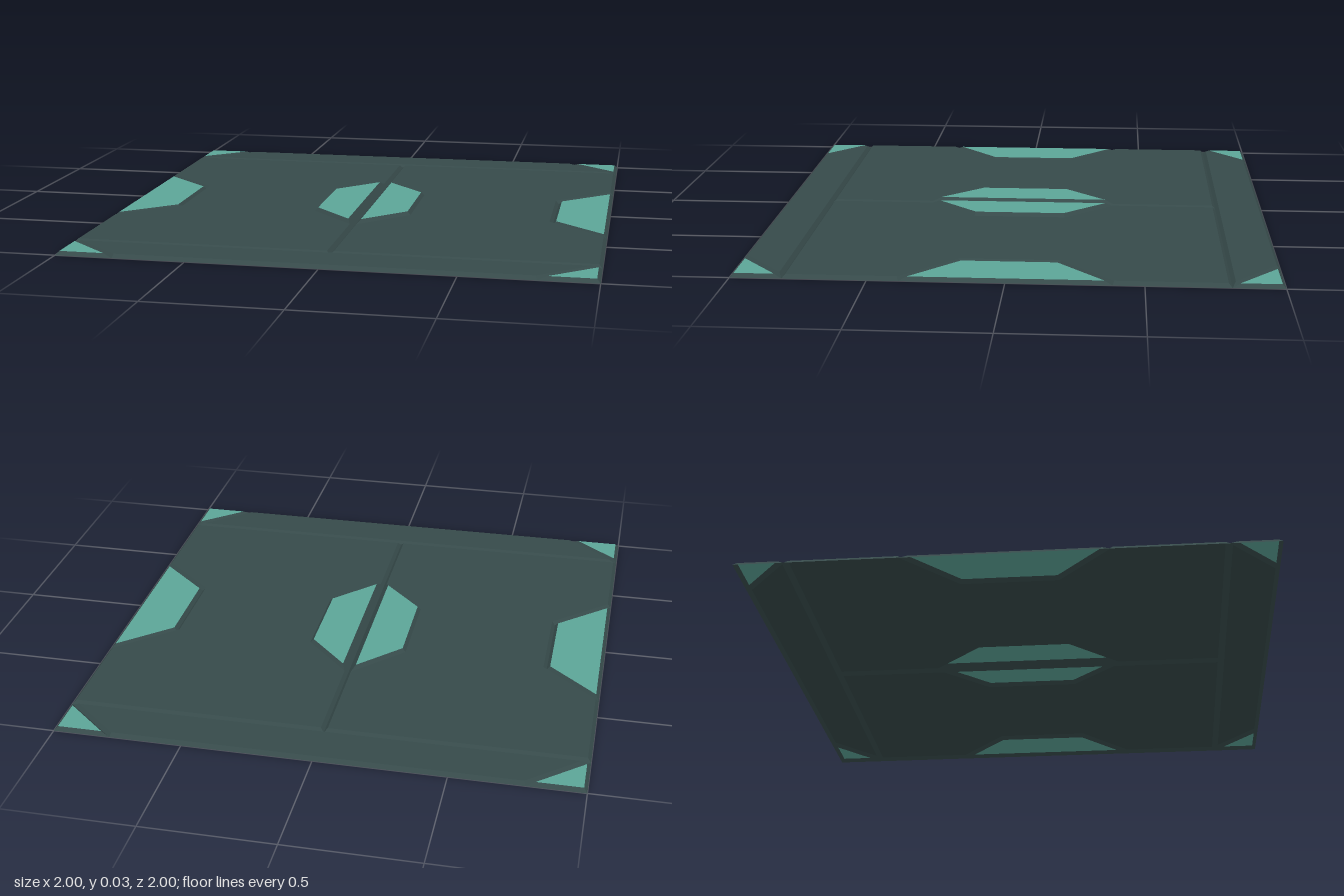
import * as THREE from 'three';

const H = 0.014; // plate height
const INSET = 0.013; // width of the chamfers

const panelMat = new THREE.MeshStandardMaterial({ color: 0x364a4a, side: THREE.DoubleSide, flatShading: true });
panelMat.name = 'dark panel';
const inlayMat = new THREE.MeshStandardMaterial({ color: 0x5ca598, side: THREE.DoubleSide, flatShading: true });
inlayMat.name = 'teal inlay';

// Outlines are [x, z] pairs, kept counter-clockwise when seen from above.
function outline(points, sx, sz) {
  const pts = points.map(([x, z]) => new THREE.Vector2(x * sx, -z * sz));
  return THREE.ShapeUtils.isClockWise(pts) ? pts.reverse() : pts;
}

// Moves every edge inward by d, with mitred corners.
function insetOutline(pts, d) {
  const n = pts.length;
  const normal = (a, b) => new THREE.Vector2(a.y - b.y, b.x - a.x).normalize();
  return pts.map((p, i) => {
    const n1 = normal(pts[(i + n - 1) % n], p);
    const n2 = normal(p, pts[(i + 1) % n]);
    return p.clone().addScaledVector(n1.clone().add(n2), d / (1 + n1.dot(n2)));
  });
}

// Sloping rim between the outline and its inset.
function rim(pts, y) {
  const top = insetOutline(pts, INSET);
  const pos = [];
  pts.forEach((a, i) => {
    const j = (i + 1) % pts.length;
    const q = [[a, y], [pts[j], y], [top[j], y + H], [top[i], y + H]];
    for (const k of [0, 1, 2, 0, 2, 3]) pos.push(q[k][0].x, q[k][1], -q[k][0].y);
  });
  const geo = new THREE.BufferGeometry();
  geo.setAttribute('position', new THREE.Float32BufferAttribute(pos, 3));
  geo.computeVertexNormals();
  return geo;
}

function face(pts, y) {
  return new THREE.ShapeGeometry(new THREE.Shape(pts)).rotateX(-Math.PI / 2).translate(0, y, 0);
}

// Chamfered plate, open underneath; topPoints may replace the plain top.
function plate(name, points, sx, sz, y, topMat, topPoints) {
  const group = new THREE.Group();
  group.name = name;
  const pts = outline(points, sx, sz);
  const top = topPoints ? outline(topPoints, sx, sz) : insetOutline(pts, INSET);
  const rimMesh = new THREE.Mesh(rim(pts, y), panelMat);
  rimMesh.name = name + 'Rim';
  const topMesh = new THREE.Mesh(face(top, y + H), topMat);
  topMesh.name = name + 'Top';
  group.add(rimMesh, topMesh);
  return group;
}

export function createModel() {
  const model = new THREE.Group();
  model.name = 'floorTile';

  const main = [[0, -0.81], [1, -0.81], [1, -0.385], [0.778, -0.185],
    [0.778, 0.185], [1, 0.385], [1, 0.81], [0, 0.81]];
  const raised = [[INSET, -0.38], [0.2, -0.185], [0.2, 0.185], [INSET, 0.38]];
  const sideInlay = [[1, -0.385], [0.778, -0.185], [0.778, 0.185], [1, 0.385]];
  const strip = [[-1, 0.81], [1, 0.81], [0.78, 1], [-0.78, 1]];
  const corner = [[1, 0.81], [1, 1], [0.78, 1]];

  // main top face, notched around the raised centre inlay
  const mainTop = insetOutline(outline(main, 1, 1), INSET).map((p) => [p.x, -p.y]);
  const start = mainTop.findIndex(([x, z]) => x < 0.1 && z < 0);
  const notched = [...mainTop.slice(start), ...mainTop.slice(0, start)];
  if (notched[1][0] < 0.1) notched.splice(1, 0, ...raised);
  else notched.push(...raised.slice().reverse());

  for (const sx of [1, -1]) {
    const side = sx > 0 ? 'left' : 'right';
    model.add(plate(side + 'MainPanel', main, sx, 1, 0, panelMat, notched));
    model.add(plate(side + 'CentreInlay', raised, sx, 1, H, inlayMat));
    model.add(plate(side + 'EdgeInlay', sideInlay, sx, 1, 0, inlayMat));
    for (const sz of [1, -1]) {
      model.add(plate(side + (sz > 0 ? 'Front' : 'Back') + 'Corner', corner, sx, sz, 0, inlayMat));
    }
  }
  // border strips along the front and back
  for (const sz of [1, -1]) {
    model.add(plate((sz > 0 ? 'front' : 'back') + 'Strip', strip, 1, sz, 0, panelMat));
  }
  return model;
}
